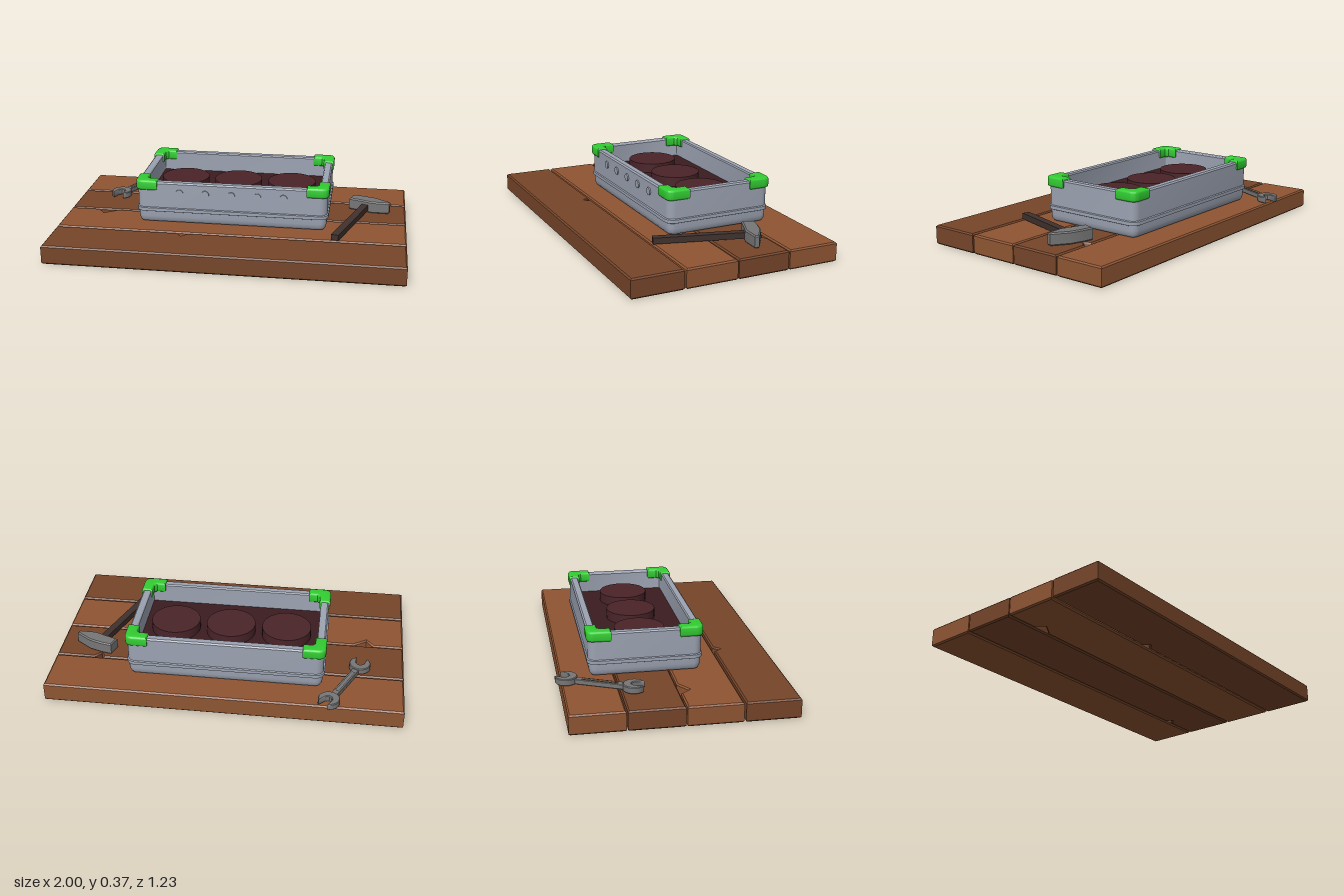
import * as THREE from 'three';
import { toCreasedNormals } from 'three/addons/utils/BufferGeometryUtils.js';

const mat = (color) => new THREE.MeshStandardMaterial({ color });
const woodLight = mat(0x8f5533), woodDark = mat(0x764529), shell = mat(0x9ca3b2);
const green = mat(0x32cd32), floorMat = mat(0x3a1c20), discMat = mat(0x4a2429);
const steel = mat(0x777777), handleMat = mat(0x40312d);
const BOX_Z = -0.12;

function add(parent, name, geometry, material, x = 0, y = 0, z = 0) {
  const mesh = new THREE.Mesh(geometry, material);
  mesh.name = name;
  mesh.position.set(x, y, z);
  parent.add(mesh);
  return mesh;
}

// Shape from [x, z] plan points
const plan = (pts) => new THREE.Shape(pts.map(([x, z]) => new THREE.Vector2(x, -z)));

// Horizontal slab of a plan shape between two heights, with bevelled edges
function slab(shape, y0, y1, bevel, segments = 1) {
  const geo = new THREE.ExtrudeGeometry(shape, {
    depth: y1 - y0 - 2 * bevel, bevelThickness: bevel, bevelSize: bevel,
    bevelOffset: -bevel, bevelSegments: segments, curveSegments: 10,
  });
  geo.rotateX(-Math.PI / 2).translate(0, y0 + bevel, 0);
  return toCreasedNormals(geo, 0.7);
}

// Planks, each with an optional V notch [x0, tipX, x1, depth] in its back edge
function addPlanks(root) {
  const planks = [
    [-0.583, -0.292], [-0.285, 0.012, [0.725, 0.745, 0.78, 0.038]],
    [0.018, 0.312, [-0.825, -0.785, -0.71, 0.05]], [0.322, 0.615, [-0.285, -0.262, -0.23, 0.034]],
  ];
  planks.forEach(([z0, z1, notch], i) => {
    const pts = [[-1, z0]];
    if (notch) pts.push([notch[0], z0], [notch[1], z0 + notch[3]], [notch[2], z0]);
    pts.push([1, z0], [1, z1], [-1, z1]);
    add(root, 'plank' + (i + 1), slab(plan(pts), 0, 0.11, 0.008), i % 2 ? woodDark : woodLight);
  });
}

// Rounded-rectangle shell lofted along an [inset, height] profile
function crateGeometry(hx, hz, radius, profile) {
  const pos = [], idx = [], per = 7, n = per * 4;
  for (const [inset, y] of profile) {
    const r = Math.max(0.008, radius - inset);
    for (let c = 0; c < 4; c++) {
      const sx = c === 0 || c === 3 ? 1 : -1, sz = c < 2 ? 1 : -1;
      for (let k = 0; k < per; k++) {
        const a = (c + k / (per - 1)) * Math.PI / 2;
        pos.push(sx * (hx - inset - r) + r * Math.cos(a), y, sz * (hz - inset - r) + r * Math.sin(a));
      }
    }
  }
  for (let i = 0; i < profile.length - 1; i++) {
    for (let j = 0; j < n; j++) {
      const a = i * n + j, b = i * n + (j + 1) % n;
      idx.push(a, a + n, b, b, a + n, b + n);
    }
  }
  const geo = new THREE.BufferGeometry();
  geo.setAttribute('position', new THREE.Float32BufferAttribute(pos, 3));
  geo.setIndex(idx);
  return toCreasedNormals(geo, 0.7);
}

function addCrate(root) {
  const crate = new THREE.Group();
  crate.name = 'crate';
  crate.position.z = BOX_Z;
  root.add(crate);

  // Outer wall with raised band, rim, then inner wall
  add(crate, 'crateShell', crateGeometry(0.55, 0.31, 0.045, [
    [0.032, 0.11], [0.016, 0.116], [0.007, 0.13], [0.004, 0.15], [0.003, 0.18], [-0.006, 0.184],
    [-0.006, 0.203], [0.001, 0.207], [0, 0.352], [0.008, 0.36], [0.04, 0.36], [0.046, 0.353], [0.046, 0.2],
  ]), shell);
  add(crate, 'crateFloor', new THREE.BoxGeometry(1.02, 0.13, 0.54), floorMat, 0, 0.18, 0);

  // Three round inserts
  for (const x of [-0.32, 0, 0.32]) {
    add(crate, 'roundInsert', new THREE.CylinderGeometry(0.14, 0.14, 0.06, 40), discMat, x, 0.27, 0);
  }

  // Studs along the front wall
  for (let i = -2; i <= 2; i++) {
    const stud = add(crate, 'frontStud', new THREE.CylinderGeometry(0.022, 0.022, 0.012, 20), shell, i * 0.15, 0.3, 0.311);
    stud.rotation.x = Math.PI / 2;
  }

  // L-shaped corner guards
  for (const sx of [-1, 1]) for (const sz of [-1, 1]) {
    const s = new THREE.Shape();
    const X = (v) => v * sx, Y = (v) => -v * sz;
    s.moveTo(X(0.43), Y(0.318));
    s.lineTo(X(0.515), Y(0.318));
    s.quadraticCurveTo(X(0.558), Y(0.318), X(0.558), Y(0.275));
    s.lineTo(X(0.558), Y(0.185));
    s.lineTo(X(0.495), Y(0.185));
    s.lineTo(X(0.495), Y(0.24));
    s.lineTo(X(0.48), Y(0.255));
    s.lineTo(X(0.43), Y(0.255));
    add(crate, 'cornerGuard', slab(s, 0.311, 0.37, 0.012, 3), green);
  }
}

function addHammer(root) {
  const hammer = new THREE.Group();
  hammer.name = 'hammer';
  root.add(hammer);
  const handle = add(hammer, 'hammerHandle', new THREE.BoxGeometry(0.042, 0.034, 0.53), handleMat, 0.685, 0.136, 0.06);
  handle.rotation.set(0.02, -0.32, 0, 'YXZ');
  // Square face on one end, narrow upright wedge on the other
  const outline = plan([
    [0.662, -0.192], [0.685, -0.26], [0.745, -0.248], [0.82, -0.222],
    [0.907, -0.16], [0.9, -0.136], [0.8, -0.138], [0.735, -0.165],
  ]);
  add(hammer, 'hammerHead', slab(outline, 0.111, 0.181, 0.007), steel);
}

function addWrench(root) {
  const wrench = new THREE.Group();
  wrench.name = 'wrench';
  root.add(wrench);

  // Open jaw: a disc with a slot facing -z
  const jaw = new THREE.Shape();
  const a = 0.52;
  jaw.absarc(0, 0, 0.06, Math.PI / 2 + a, Math.PI * 2.5 - a, false);
  jaw.lineTo(0.022, 0.0);
  jaw.lineTo(0.008, -0.014);
  jaw.lineTo(-0.008, -0.014);
  jaw.lineTo(-0.022, 0.0);
  const jawGeo = slab(jaw, 0.113, 0.15, 0.004);
  for (const [x, z, turn] of [[-0.59, -0.555, -0.64], [-0.75, -0.215, 2.94]]) {
    add(wrench, 'wrenchJaw', jawGeo, steel, x, 0, z).rotation.y = turn;
  }

  // Shaft with a long sunken panel framed by a raised edge
  const rect = (w, l) => [[-w, -l], [w, -l], [w, l], [-w, l]];
  const frame = plan(rect(0.019, 0.15));
  frame.holes.push(plan(rect(0.01, 0.1)));
  const parts = [['wrenchShaft', slab(plan(rect(0.019, 0.15)), 0.115, 0.134, 0.002)],
    ['wrenchShaftEdge', slab(frame, 0.13, 0.142, 0.002)]];
  for (const [name, geo] of parts) {
    add(wrench, name, geo, steel, -0.672, 0, -0.385).rotation.y = -0.44;
  }
}

export function createModel() {
  const root = new THREE.Group();
  root.name = 'workbenchCrate';
  addPlanks(root);
  addCrate(root);
  addHammer(root);
  addWrench(root);
  return root;
}
